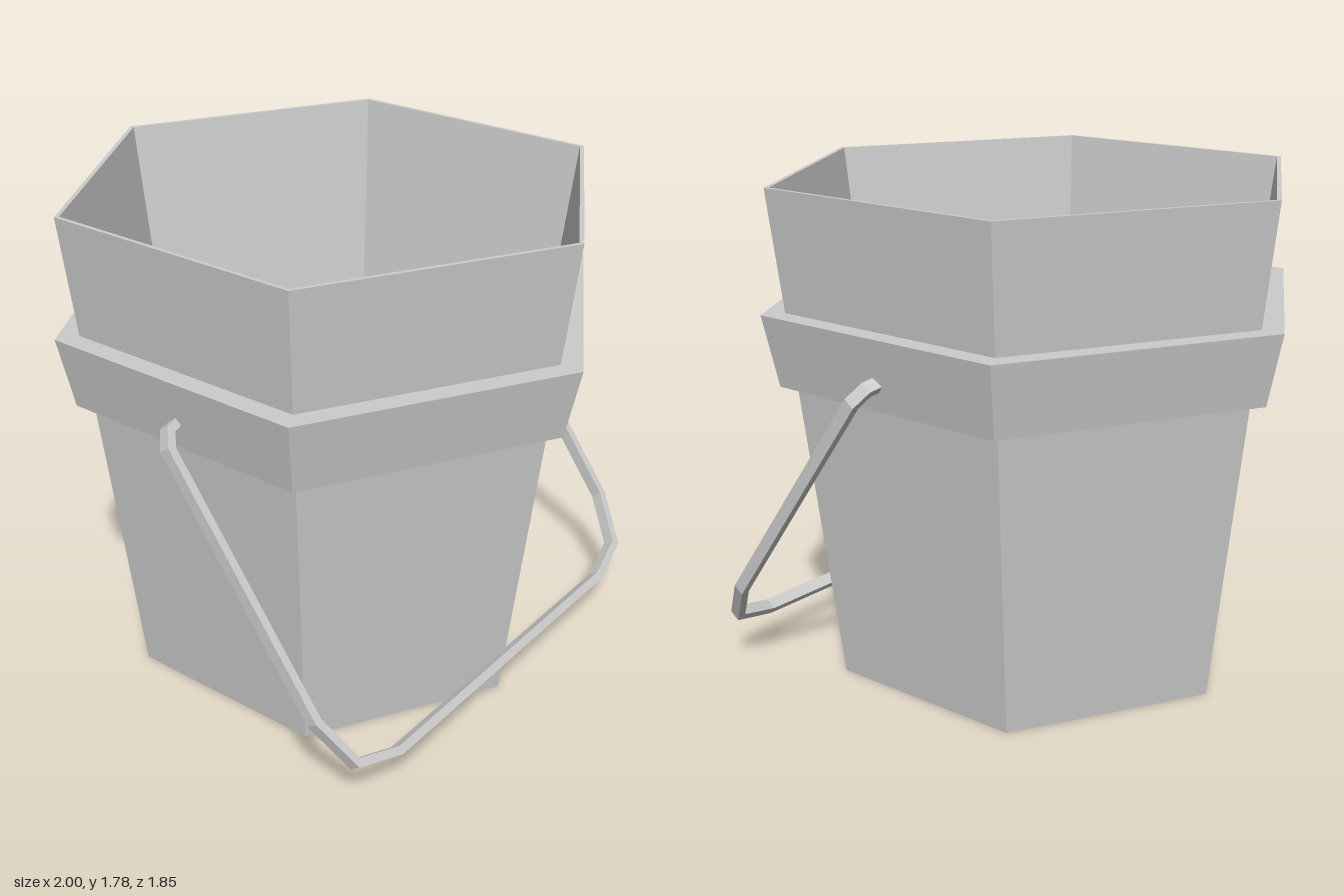
import * as THREE from 'three';

const material = new THREE.MeshStandardMaterial({ color: 0xcccccc, flatShading: true });

function addMesh(parent, name, geometry) {
  const mesh = new THREE.Mesh(geometry, material);
  mesh.name = name;
  parent.add(mesh);
  return mesh;
}

// Six-sided lathe with corners on the x axis
function hexLathe(profile) {
  const points = profile.map(([r, y]) => new THREE.Vector2(r, y));
  return new THREE.LatheGeometry(points, 6, Math.PI / 2);
}

// Flat bar of the given thickness that follows a polyline with mitred corners
function barShape(path, thickness) {
  const pts = path.map(([u, z]) => new THREE.Vector2(u, z));
  const normal = (a, b) => new THREE.Vector2(a.y - b.y, b.x - a.x).normalize();
  const side = (sign) => pts.map((p, i) => {
    const n0 = normal(pts[Math.max(i - 1, 0)], pts[Math.max(i, 1)]);
    const last = pts.length - 1;
    const n1 = normal(pts[Math.min(i, last - 1)], pts[Math.min(i + 1, last)]);
    const miter = n0.clone().add(n1).normalize();
    return p.clone().addScaledVector(miter, (sign * thickness) / 2 / miter.dot(n0));
  });
  return new THREE.Shape([...side(1), ...side(-1).reverse()]);
}

export function createModel() {
  const group = new THREE.Group();
  group.name = 'bucket';

  // Tapered hollow body with a floor
  addMesh(group, 'body', hexLathe([
    [0, 0], [0.755, 0], [0.967, 1.78], [0.95, 1.78], [0.715, 0.04], [0, 0.04],
  ]));

  // Raised band around the body
  addMesh(group, 'band', hexLathe([
    [0.88, 1.10], [0.945, 1.10], [1.0, 1.355], [0.91, 1.355],
  ]));

  // Handle hanging towards +x: path as (distance from pivot, z), mirrored in z
  const half = [[0, 0.8], [0.015, 0.875], [0.07, 0.911], [1.06, 0.911], [1.25, 0.84], [1.31, 0.66]];
  const path = [...half, ...half.map(([u, z]) => [u, -z]).reverse()];
  const width = 0.044;
  const geometry = new THREE.ExtrudeGeometry(barShape(path, 0.03), { depth: width, bevelEnabled: false });
  geometry.translate(0, 0, -width / 2);
  const along = new THREE.Vector3(0.785, -1.07, 0).normalize();
  const across = new THREE.Vector3(0, 0, 1);
  const basis = new THREE.Matrix4().makeBasis(along, across, along.clone().cross(across));
  geometry.applyMatrix4(basis.setPosition(0, 1.2, 0));
  addMesh(group, 'handle', geometry);

  return group;
}
